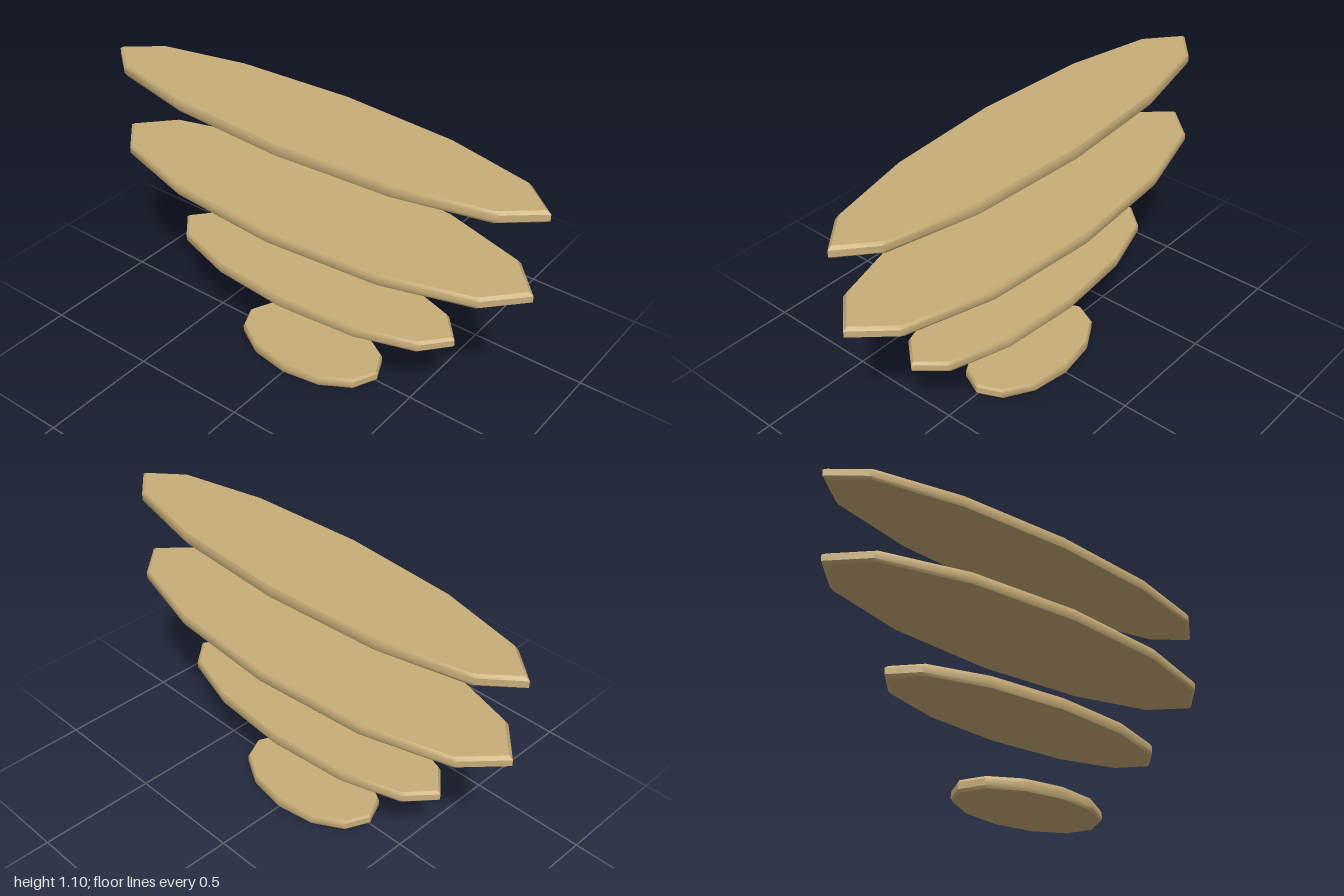
import * as THREE from 'three';
import { toCreasedNormals } from 'three/addons/utils/BufferGeometryUtils.js';

const THICKNESS = 0.048;
const SPACING = 0.352;
const BEVEL = 0.011;

// Twelve-sided elliptical slab with a narrow bevel on both rims
function slabGeometry(radiusX, radiusZ, inset) {
  const profile = [
    [0, 0],
    [1 - inset, 0],
    [1, BEVEL],
    [1, THICKNESS - BEVEL],
    [1 - inset, THICKNESS],
    [0, THICKNESS],
  ].map(([r, y]) => new THREE.Vector2(r, y));
  const geometry = new THREE.LatheGeometry(profile, 12);
  geometry.scale(radiusX, 1, radiusZ);
  return toCreasedNormals(geometry, 0.6);
}

export function createModel() {
  const model = new THREE.Group();
  model.name = 'stackedSlabs';

  const wood = new THREE.MeshStandardMaterial({ color: 0xc8ad78 });
  wood.name = 'tanWood';

  // Slabs from bottom to top: half length, half depth, rim inset
  const slabs = [
    ['bottomSlab', 0.338, 0.198, 0.025],
    ['lowerSlab', 0.681, 0.212, 0.02],
    ['upperSlab', 0.976, 0.284, 0.018],
    ['topSlab', 1, 0.226, 0.018],
  ];
  slabs.forEach(([name, radiusX, radiusZ, inset], i) => {
    const slab = new THREE.Mesh(slabGeometry(radiusX, radiusZ, inset), wood);
    slab.name = name;
    slab.position.y = i * SPACING;
    model.add(slab);
  });

  return model;
}
